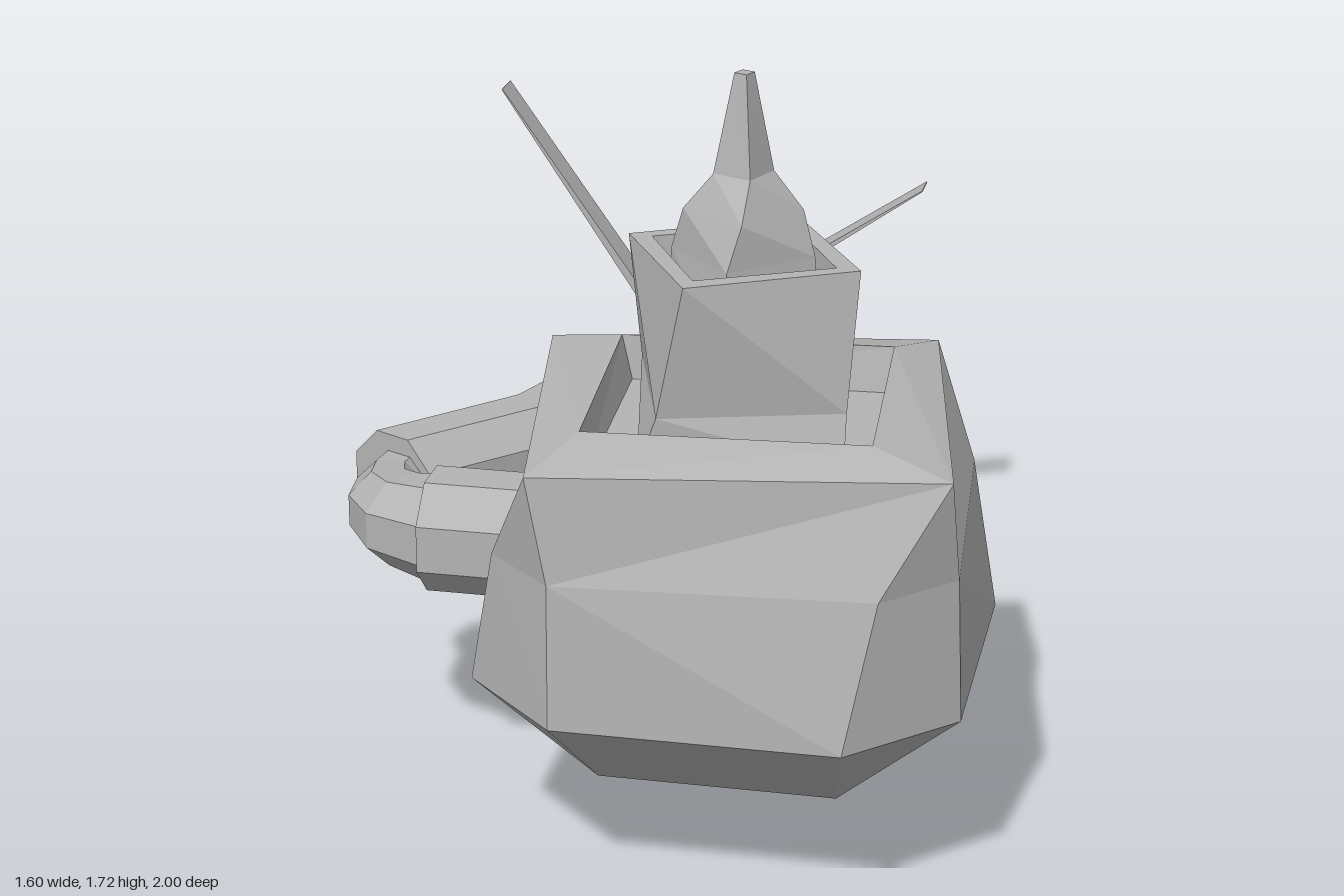
import * as THREE from 'three';

const grey = new THREE.MeshStandardMaterial({ color: 0xb4b4b4, side: THREE.DoubleSide });
grey.name = 'plain grey';

// Faceted skin through a list of rings; caps are optional
function loft(name, rings, { flip = () => false, capStart = false, capEnd = false } = {}) {
  const out = [];
  const tri = (a, b, c) => {
    const area = b.clone().sub(a).cross(c.clone().sub(a)).length();
    if (area > 1e-7) out.push(...a.toArray(), ...b.toArray(), ...c.toArray());
  };
  const n = rings[0].length;
  for (let r = 0; r < rings.length - 1; r++) {
    for (let i = 0; i < n; i++) {
      const j = (i + 1) % n;
      const a = rings[r][i], a1 = rings[r][j], b = rings[r + 1][i], b1 = rings[r + 1][j];
      if (flip(r)) { tri(a, b, b1); tri(a, b1, a1); }
      else { tri(a, b, a1); tri(b, b1, a1); }
    }
  }
  const last = rings[rings.length - 1];
  for (let i = 1; i < n - 1; i++) {
    if (capStart) tri(rings[0][0], rings[0][i], rings[0][i + 1]);
    if (capEnd) tri(last[0], last[i + 1], last[i]);
  }
  const g = new THREE.BufferGeometry();
  g.setAttribute('position', new THREE.Float32BufferAttribute(out, 3));
  g.computeVertexNormals();
  const mesh = new THREE.Mesh(g, grey);
  mesh.name = name;
  return mesh;
}

// Four-fold ring: the given corner points repeated by quarter turns
const CX = 0.272, CZ = 0.477;
function quad(y, ...corners) {
  const ring = [];
  for (let k = 0; k < 4; k++) {
    for (const [x, z] of corners) {
      const [px, pz] = [[x, z], [-z, x], [-x, -z], [z, -x]][k];
      ring.push(new THREE.Vector3(CX + px, y, CZ + pz));
    }
  }
  return ring;
}
const twin = (y, x, z) => quad(y, [x, z], [x, z]);

// Eight-sided pipe in a level plane; stations are [x, z, radius]
const PIPE_Y = 0.643;
function pipe(name, stations, startDir, endDir) {
  const pts = stations.map(([x, z]) => new THREE.Vector3(x, PIPE_Y, z));
  const up = new THREE.Vector3(0, 1, 0);
  const dir = (i) => pts[i + 1].clone().sub(pts[i]).normalize();
  const last = pts.length - 1;
  const rings = pts.map((p, i) => {
    let t;
    if (i === 0) t = startDir ? new THREE.Vector3(startDir[0], 0, startDir[1]) : dir(0);
    else if (i === last) t = endDir ? new THREE.Vector3(endDir[0], 0, endDir[1]) : dir(last - 1);
    else t = dir(i - 1).add(dir(i));
    t.normalize();
    const side = t.clone().cross(up);
    const miter = i > 0 && i < last ? 1 / Math.max(0.7, t.dot(dir(i))) : 1;
    const r = stations[i][2] / Math.cos(Math.PI / 8);
    return Array.from({ length: 8 }, (_, k) => {
      const a = (k + 0.5) * Math.PI / 4;
      return p.clone()
        .addScaledVector(side, r * Math.cos(a) * miter)
        .addScaledVector(up, r * Math.sin(a));
    });
  });
  return loft(name, rings, { capStart: true, capEnd: true });
}

export function createModel() {
  const model = new THREE.Group();
  model.name = 'twistedTowerWithRotor';

  // Main body: square foot, chamfered belly, twisted rim and recess
  model.add(loft('body', [
    twin(0.225, 0.24, 0.24),
    twin(0.21, 0.24, 0.24),
    twin(0.21, 0.26, 0.26),
    quad(0.44, [0.527, 0.305], [0.31, 0.525]),
    quad(0.76, [0.515, 0.307], [0.37, 0.46]),
    twin(0.99, 0.503, 0.355),
    twin(1.03, 0.325, 0.28),
    twin(0.93, 0.3, 0.27),
  ], { flip: (r) => r === 3, capStart: true, capEnd: true }));

  // Middle block with an open top
  model.add(loft('upperBlock', [
    quad(0.93, [0.25, 0.175]),
    quad(1.04, [0.248, 0.135]),
    quad(1.335, [0.263, 0.075]),
    quad(1.335, [0.21, 0.066]),
    quad(1.16, [0.19, 0.06]),
  ], { flip: (r) => r < 2, capEnd: true }));

  // Spire rising out of the block
  model.add(loft('spire', [
    quad(1.16, [0.17, 0.02]),
    quad(1.335, [0.155, 0.005]),
    quad(1.43, [0.125, -0.02]),
    quad(1.51, [0.06, -0.025]),
    quad(1.725, [0.02, -0.008]),
  ], { flip: () => true, capEnd: true }));

  // Side arm: stub, elbow, bent sleeve, inner tube
  model.add(pipe('armStub', [[-0.1, 0.47, 0.128], [-0.425, 0.47, 0.128]]));
  model.add(pipe('armElbow', [
    [-0.42, 0.47, 0.112], [-0.5, 0.435, 0.1], [-0.553, 0.37, 0.088], [-0.57, 0.29, 0.078], [-0.56, 0.18, 0.075],
  ], [-1, 0]));
  model.add(pipe('armSleeve', [
    [-0.583, 0.232, 0.117], [-0.325, -0.06, 0.117], [-0.2, -0.405, 0.117],
  ], [0.45, -0.85], [0.45, -0.9]));
  model.add(pipe('armTube', [[-0.205, -0.35, 0.068], [-0.168, -0.76, 0.068]], null, [0, -1]));

  // Rotor: shaft, hub and four thin blades
  const rotor = new THREE.Group();
  rotor.name = 'rotor';
  rotor.add(pipe('rotorShaft', [[-0.165, -0.74, 0.026], [-0.165, -0.86, 0.026]]));
  rotor.add(pipe('rotorHub', [
    [-0.165, -0.85, 0.026], [-0.165, -0.87, 0.046], [-0.165, -0.94, 0.046],
    [-0.165, -0.965, 0.02], [-0.165, -1.0, 0.008],
  ]));
  const blade = new THREE.BoxGeometry(0.77, 0.026, 0.084, 4, 1, 1).translate(0.385, 0, 0);
  const pos = blade.attributes.position;
  for (let i = 0; i < pos.count; i++) {
    pos.setY(i, pos.getY(i) * (1 - 0.9 * pos.getX(i) / 0.77));
  }
  blade.computeVertexNormals();
  for (let k = 0; k < 4; k++) {
    const mesh = new THREE.Mesh(blade, grey);
    mesh.name = 'rotorBlade';
    mesh.position.set(-0.165, PIPE_Y, -0.903);
    mesh.rotation.z = Math.atan2(0.435, 0.635) + k * Math.PI / 2;
    rotor.add(mesh);
  }
  model.add(rotor);
  return model;
}
